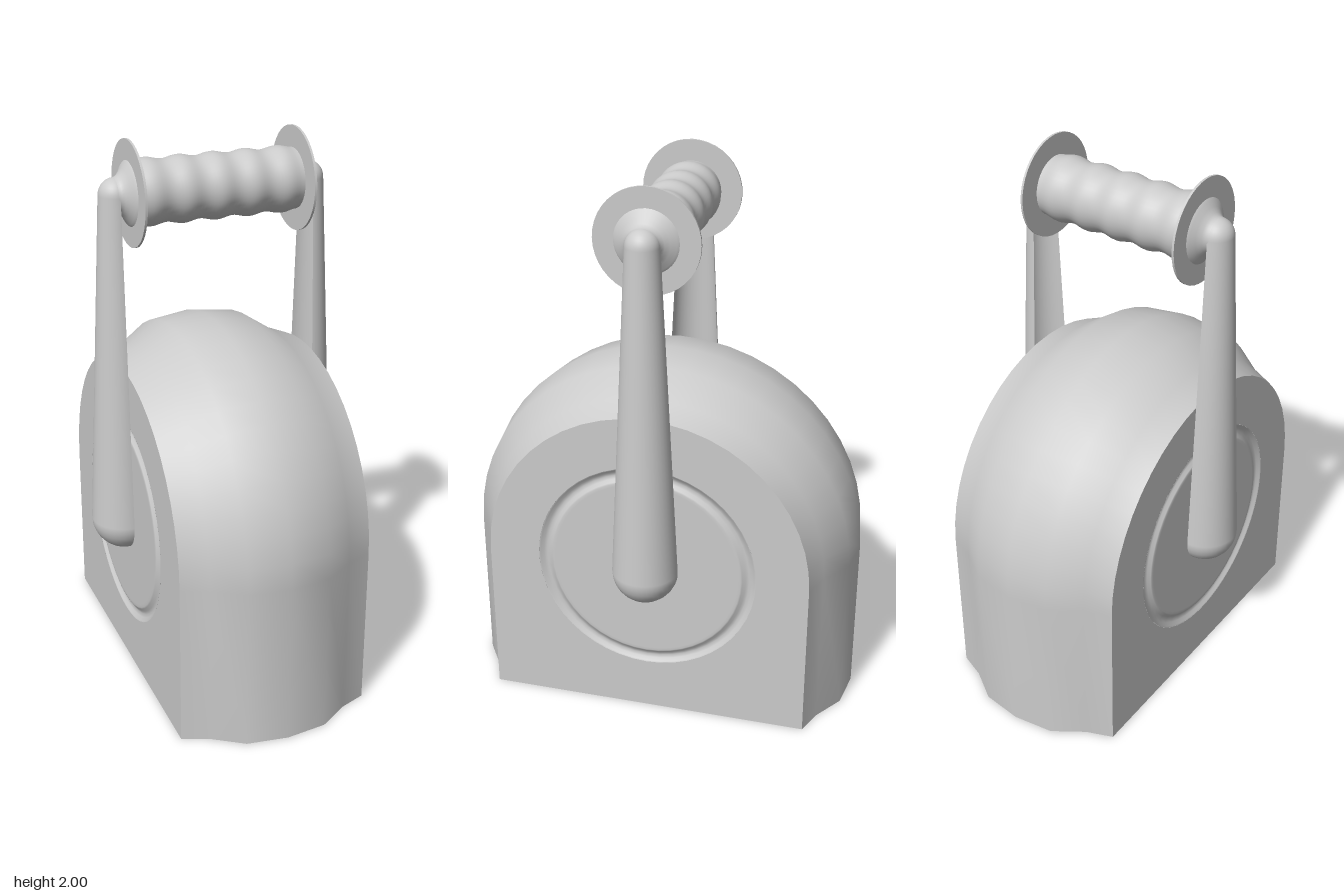
import * as THREE from 'three';

const material = new THREE.MeshStandardMaterial({ color: 0xcccccc, side: THREE.DoubleSide });
const AXLE_Y = 0.6, HALF_WIDTH = 0.355, HANDLE_Y = 1.815, ARC_STEPS = 24;

function mesh(name, geometry) {
  const m = new THREE.Mesh(geometry, material);
  m.name = name;
  return m;
}

const v2 = (pairs) => pairs.map(([x, y]) => new THREE.Vector2(x, y));

// Arch outline as [z, y]: straight legs joined by a half circle
function archPoints(r) {
  const pts = [[r, 0]];
  for (let i = 0; i <= ARC_STEPS; i++) {
    const a = (i / ARC_STEPS) * Math.PI;
    pts.push([r * Math.cos(a), AXLE_Y + r * Math.sin(a)]);
  }
  pts.push([-r, 0]);
  return pts;
}

// Bulging cover: arches of varying radius lofted across the width
function coverGeometry() {
  const half = [[0.15, 0.705], [0.26, 0.632], [HALF_WIDTH, 0.595]];
  const sections = [...half.map(([x, r]) => [-x, r]).reverse(), [0, 0.725], ...half];
  const positions = [], index = [];
  const n = ARC_STEPS + 3;
  sections.forEach(([x, r], s) => {
    for (const [z, y] of archPoints(r)) positions.push(x, y, z);
    if (s === 0) return;
    for (let i = 0; i < n - 1; i++) {
      const a = (s - 1) * n + i, b = s * n + i;
      index.push(a, b, a + 1, b, b + 1, a + 1);
    }
  });
  const g = new THREE.BufferGeometry();
  g.setAttribute('position', new THREE.Float32BufferAttribute(positions, 3));
  g.setIndex(index);
  g.computeVertexNormals();
  return g;
}

// Flat side wall with a round opening for the grooved disc
function sideWallGeometry() {
  const shape = new THREE.Shape(v2(archPoints(0.595)));
  const hole = new THREE.Path();
  hole.absarc(0, AXLE_Y, 0.405, 0, Math.PI * 2, true);
  shape.holes.push(hole);
  return new THREE.ShapeGeometry(shape, 48).rotateY(Math.PI / 2).translate(HALF_WIDTH, 0, 0);
}

// Disc with a shallow ring groove near its rim
function grooveDiscGeometry() {
  const profile = v2([[0.405, 0], [0.4, -0.002], [0.39, -0.011], [0.378, -0.015],
    [0.366, -0.011], [0.356, -0.002], [0.35, 0], [0.34, 0], [0, 0]]);
  return new THREE.LatheGeometry(profile, 48).rotateZ(-Math.PI / 2).translate(HALF_WIDTH, AXLE_Y, 0);
}

// Tapered half-round arm with rounded ends, open towards the body
function armGeometry() {
  const pts = [], length = HANDLE_Y - AXLE_Y, steps = 8;
  for (let i = 0; i <= steps; i++) {
    const a = (i / steps) * Math.PI / 2;
    pts.push([0.12 * Math.sin(a), -0.12 * Math.cos(a)]);
  }
  for (let i = 0; i <= steps; i++) {
    const a = (i / steps) * Math.PI / 2;
    pts.push([0.06 * Math.cos(a), length + 0.06 * Math.sin(a)]);
  }
  return new THREE.LatheGeometry(v2(pts), 20, 0, Math.PI).translate(HALF_WIDTH, AXLE_Y, 0);
}

// Grip with five finger bulges
function gripGeometry() {
  const pts = [], steps = 50, end = 0.305;
  for (let i = 0; i <= steps; i++) {
    const t = i / steps;
    pts.push([0.113 - 0.005 * Math.cos(t * 5 * Math.PI * 2), (t * 2 - 1) * end]);
  }
  return new THREE.LatheGeometry(v2(pts), 36).rotateZ(-Math.PI / 2).translate(0, HANDLE_Y, 0);
}

// Flared neck joining the grip to an arm
function neckGeometry() {
  const pts = v2([[0.115, 0.308], [0.105, 0.317], [0.086, 0.327], [0.07, 0.34], [0.062, 0.35], [0.06, 0.36]]);
  return new THREE.LatheGeometry(pts, 36).rotateZ(-Math.PI / 2).translate(0, HANDLE_Y, 0);
}

function guardGeometry() {
  return new THREE.CylinderGeometry(0.185, 0.185, 0.008, 40)
    .rotateZ(Math.PI / 2).translate(0.306, HANDLE_Y, 0);
}

export function createModel() {
  const model = new THREE.Group();
  model.name = 'archedBodyWithHandle';
  model.add(mesh('cover', coverGeometry()), mesh('grip', gripGeometry()));

  // Matching parts on both sides, the second turned half way round
  for (const side of ['left', 'right']) {
    const group = new THREE.Group();
    group.name = side + 'Side';
    group.add(
      mesh(side + 'Wall', sideWallGeometry()),
      mesh(side + 'GroovedDisc', grooveDiscGeometry()),
      mesh(side + 'Arm', armGeometry()),
      mesh(side + 'Neck', neckGeometry()),
      mesh(side + 'Guard', guardGeometry()),
    );
    if (side === 'right') group.rotation.y = Math.PI;
    model.add(group);
  }
  return model;
}
